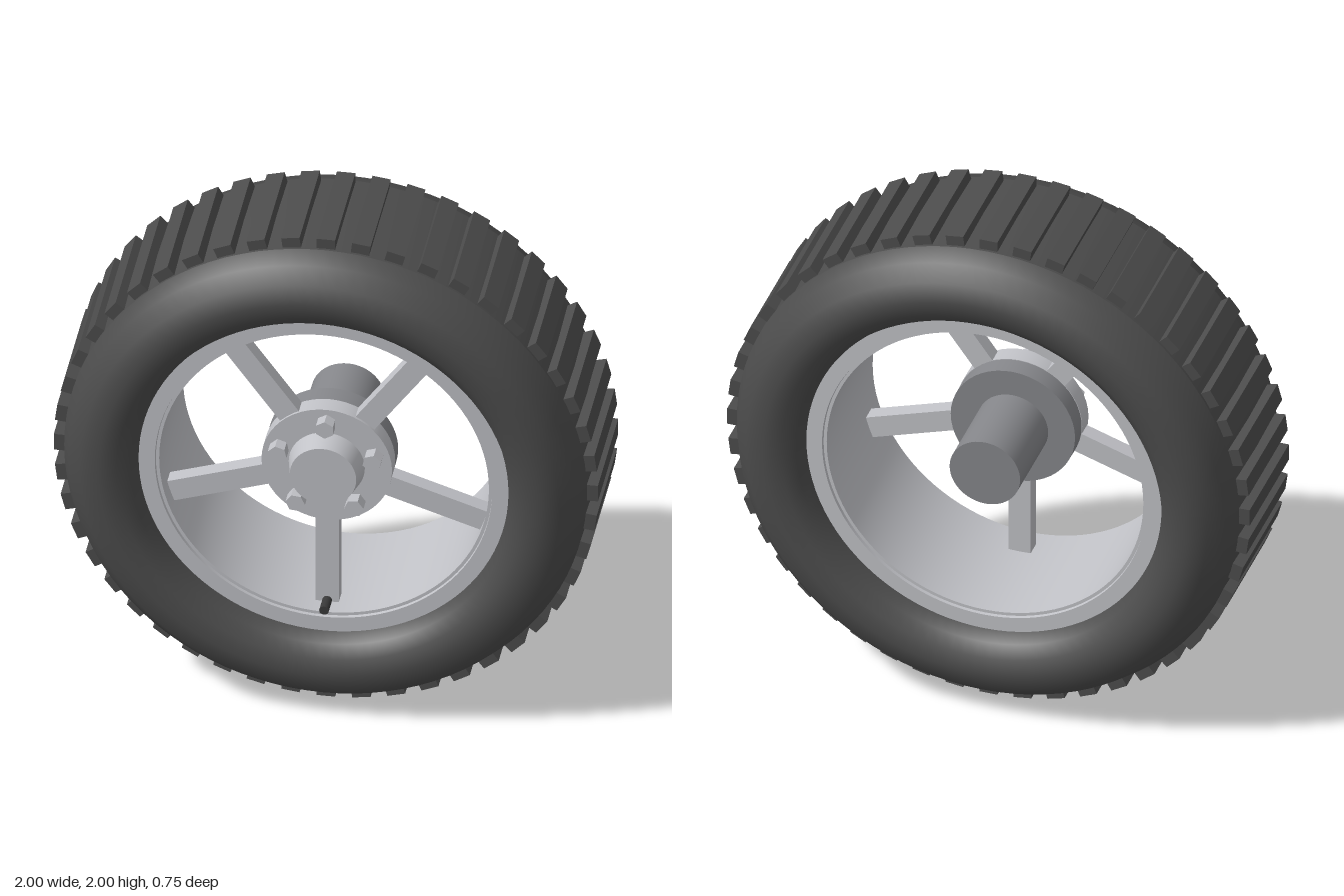
import * as THREE from 'three';
import { toCreasedNormals } from 'three/addons/utils/BufferGeometryUtils.js';

const material = (name, color) => {
  const m = new THREE.MeshStandardMaterial({ color });
  m.name = name;
  return m;
};

export function createModel() {
  const rubber = material('rubber', 0x4c4c4c);
  const alloy = material('alloy', 0xc0c1c6);
  const steel = material('steel', 0x85868a);
  const black = material('valveBlack', 0x3a3a3a);

  const model = new THREE.Group();
  const wheel = new THREE.Group();
  wheel.name = 'wheel';
  wheel.position.y = 1;
  model.add(wheel);

  const add = (name, geometry, mat, parent = wheel) => {
    const mesh = new THREE.Mesh(geometry, mat);
    mesh.name = name;
    parent.add(mesh);
    return mesh;
  };
  // Profile of [radius, z] pairs turned about the z axis
  const turned = (profile) => new THREE.LatheGeometry(
    profile.map(([r, z]) => new THREE.Vector2(r, z)), 96).rotateX(Math.PI / 2);
  // Cylinder along z between two depths
  const drum = (rBack, rFront, z0, z1, sides = 48) =>
    new THREE.CylinderGeometry(rFront, rBack, z1 - z0, sides)
      .rotateX(Math.PI / 2).translate(0, 0, (z0 + z1) / 2);

  // Tyre: crown band and two rounded sidewalls
  add('tyreCrown', turned([[0.96, -0.23], [0.965, 0], [0.96, 0.23]]), rubber);
  const wall = [[0.96, 0.23], [0.932, 0.298], [0.882, 0.356], [0.81, 0.376],
    [0.745, 0.362], [0.7, 0.325], [0.678, 0.265]];
  add('frontSidewall', turned(wall), rubber);
  add('backSidewall', turned(wall.map(([r, z]) => [r, -z]).reverse()), rubber);

  // Tread bars around the crown
  const bar = new THREE.BoxGeometry(0.068, 0.05, 0.44).translate(0, 0.975, 0);
  for (let i = 0; i < 48; i++) {
    add('treadBar', bar, rubber).rotation.z = i * Math.PI / 24;
  }

  // Rim barrel with flat lips and a small inner step
  add('rim', toCreasedNormals(turned([[0.68, -0.27], [0.68, 0.27], [0.62, 0.27],
    [0.618, 0.258], [0.606, 0.258], [0.606, -0.258], [0.618, -0.258],
    [0.62, -0.27], [0.68, -0.27]]), 0.5), alloy);

  // Five spokes with a hex bolt opposite each one
  const spoke = new THREE.BoxGeometry(0.085, 0.44, 0.06).translate(0, -0.39, 0.16);
  const bolt = toCreasedNormals(drum(0.036, 0.036, 0.19, 0.25, 6), 0.3)
    .translate(0, 0.183, 0);
  for (let i = 0; i < 5; i++) {
    const arm = new THREE.Group();
    arm.name = 'spokeAndBolt';
    arm.rotation.z = i * Math.PI * 2 / 5;
    wheel.add(arm);
    add('spoke', spoke, alloy, arm);
    add('bolt', bolt, alloy, arm);
  }

  // Hub, centre cap, mounting flange and axle
  add('hub', drum(0.24, 0.24, 0.13, 0.2), alloy);
  add('centreCap', drum(0.14, 0.122, 0.2, 0.28), alloy);
  add('flange', drum(0.238, 0.238, 0.055, 0.13), steel);
  add('axle', drum(0.135, 0.135, -0.26, 0.06), steel);

  // Valve stem beside the lowest spoke tip
  add('valveStem', drum(0.018, 0.018, 0.16, 0.26, 12).translate(0, -0.6, 0), black);

  return model;
}
